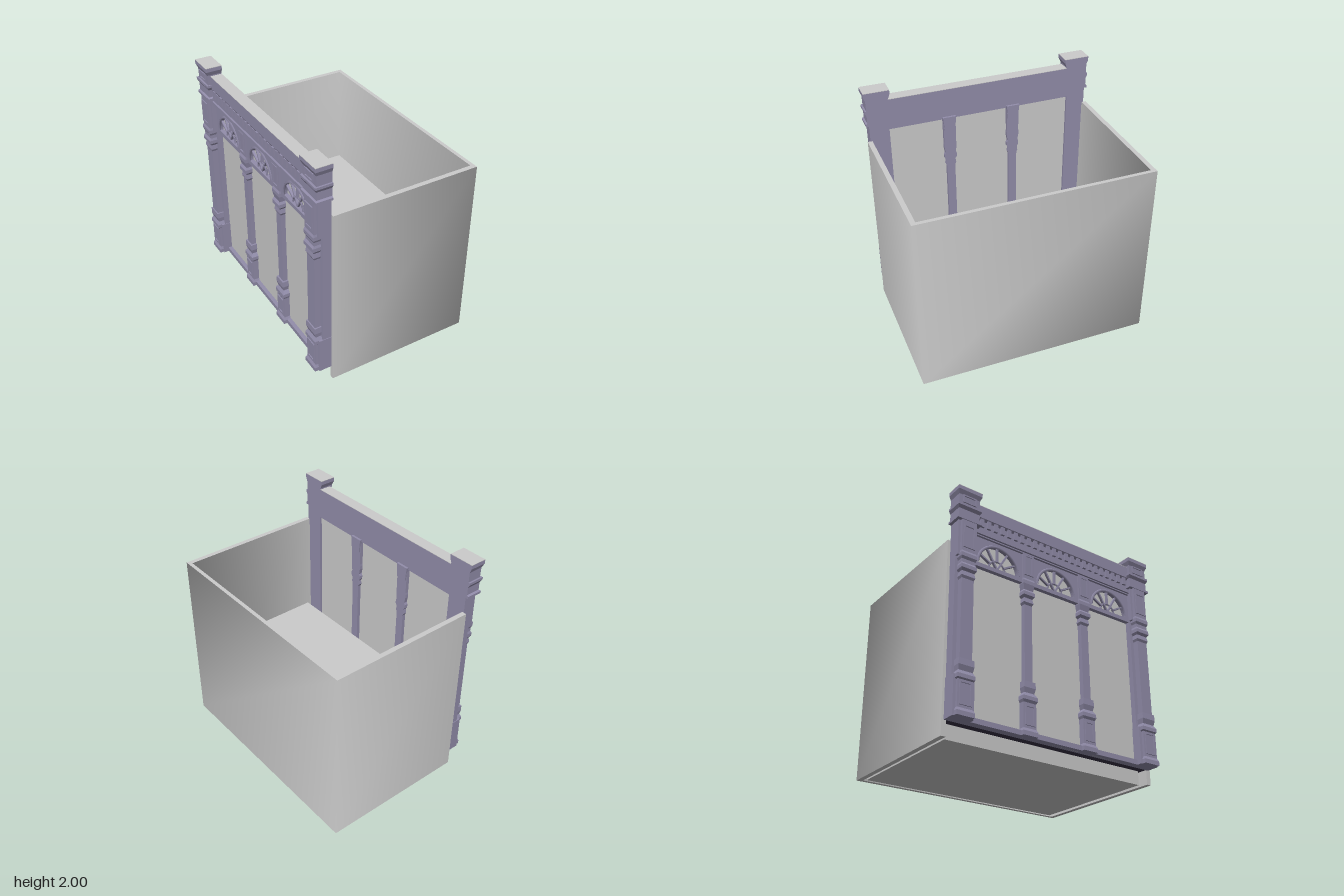
import * as THREE from 'three';
import { mergeGeometries } from 'three/addons/utils/BufferGeometryUtils.js';

const grey = new THREE.MeshStandardMaterial({ color: 0xcccccc });
grey.name = 'plasterGrey';
const purple = new THREE.MeshStandardMaterial({ color: 0x938eab });
purple.name = 'paintedPurple';
const dark = new THREE.MeshStandardMaterial({ color: 0x3a3448 });
dark.name = 'darkPurple';

const BACK = -0.56, PIER_Z = 0.878, COLUMN_Z = 0.285;

function add(parent, name, geometry, material) {
  const mesh = new THREE.Mesh(geometry, material);
  mesh.name = name;
  parent.add(mesh);
  return mesh;
}

// Box given by its limits
function block(x0, x1, y0, y1, z0, z1) {
  return new THREE.BoxGeometry(x1 - x0, y1 - y0, z1 - z0)
    .translate((x0 + x1) / 2, (y0 + y1) / 2, (z0 + z1) / 2);
}

// Moulded post: sections [y, front x, half width] joined by tapered blocks
function mouldedPost(sections, back, z) {
  const parts = [];
  for (let i = 0; i + 1 < sections.length; i++) {
    const pair = [sections[i], sections[i + 1]];
    if (pair[1][0] - pair[0][0] < 1e-4) continue;
    const g = new THREE.BoxGeometry(1, 1, 1);
    const p = g.attributes.position;
    for (let k = 0; k < p.count; k++) {
      const [y, front, half] = pair[p.getY(k) > 0 ? 1 : 0];
      p.setXYZ(k, p.getX(k) > 0 ? back : front, y, z + Math.sign(p.getZ(k)) * half);
    }
    const flat = g.toNonIndexed();
    flat.computeVertexNormals();
    parts.push(flat);
  }
  return mergeGeometries(parts);
}

// Raised rectangular frame on a face that looks to -x
function panelFrame(x, y0, y1, z, half, bar = 0.014) {
  const a = x - 0.008;
  return mergeGeometries([
    block(a, x, y0, y0 + bar, z - half, z + half),
    block(a, x, y1 - bar, y1, z - half, z + half),
    block(a, x, y0 + bar, y1 - bar, z - half, z - half + bar),
    block(a, x, y0 + bar, y1 - bar, z + half - bar, z + half),
  ]);
}

// Upright strip along an xz path, smooth round the corners
function wallStrip(path, height) {
  const pos = [], idx = [];
  path.forEach(([x, z], i) => {
    pos.push(x, 0, z, x, height, z);
    if (i) {
      const a = 2 * i - 2;
      idx.push(a, a + 2, a + 3, a, a + 3, a + 1);
    }
  });
  const g = new THREE.BufferGeometry();
  g.setAttribute('position', new THREE.Float32BufferAttribute(pos, 3));
  g.setIndex(idx);
  g.computeVertexNormals();
  return g;
}

function buildRoom(parent) {
  const room = new THREE.Group();
  room.name = 'room';
  parent.add(room);
  const H = 1.57;
  const outer = [[BACK, 0.985], [0.7, 0.985], [0.7, -0.985], [BACK, -0.985]];
  const inner = [[BACK, -0.945], [0.668, -0.945], [0.668, 0.945], [BACK, 0.945]];
  add(room, 'outerWalls', wallStrip(outer, H), grey);
  add(room, 'innerWalls', wallStrip(inner, H), grey);
  add(room, 'wallEndBack', wallStrip([outer[3], inner[0]], H), grey);
  add(room, 'wallEndFront', wallStrip([inner[3], outer[0]], H), grey);
  // Flat rims closing the wall thickness
  const rim = new THREE.Shape([...outer, ...inner].map(([x, z]) => new THREE.Vector2(x, -z)));
  add(room, 'topRim', new THREE.ShapeGeometry(rim).rotateX(-Math.PI / 2).translate(0, H, 0), grey);
  const rimBelow = new THREE.Shape([...outer, ...inner].map(([x, z]) => new THREE.Vector2(x, z)));
  add(room, 'bottomRim', new THREE.ShapeGeometry(rimBelow).rotateX(Math.PI / 2), grey);
  add(room, 'floorSlab', block(-0.5, 0.655, 0.005, 0.7, -0.918, 0.912), grey);
  add(room, 'floorBorder', block(BACK, 0.645, 0.12, 0.128, -0.944, 0.94), dark);
}

// End pier: body, pilaster, framed panels and stepped cap
function buildPier(parent, side) {
  const z = side * PIER_Z;
  const pier = new THREE.Group();
  pier.name = side > 0 ? 'frontPier' : 'backPier';
  parent.add(pier);
  add(pier, 'pierBody', mouldedPost([
    [0.12, -0.668, 0.088], [0.43, -0.668, 0.088], [0.43, -0.635, 0.083], [1.4, -0.635, 0.083],
    [1.4, -0.667, 0.083], [1.71, -0.667, 0.083],
  ], BACK, z), purple);
  add(pier, 'pilaster', mouldedPost([
    [0.12, -0.702, 0.075], [0.155, -0.702, 0.075], [0.18, -0.69, 0.066], [0.39, -0.69, 0.066],
    [0.4, -0.7, 0.074], [0.43, -0.7, 0.074], [0.46, -0.685, 0.06], [0.5, -0.697, 0.066],
    [0.55, -0.695, 0.064], [0.55, -0.685, 0.052], [1.2, -0.685, 0.052], [1.22, -0.694, 0.06],
    [1.26, -0.687, 0.055], [1.28, -0.702, 0.066], [1.31, -0.702, 0.066], [1.33, -0.69, 0.06],
    [1.36, -0.69, 0.06], [1.38, -0.7, 0.068], [1.41, -0.7, 0.068], [1.43, -0.692, 0.064],
    [1.71, -0.692, 0.064],
  ], -0.63, z), purple);
  add(pier, 'pedestalPanel', panelFrame(-0.69, 0.2, 0.38, z, 0.052), purple);
  add(pier, 'upperPanel', panelFrame(-0.692, 1.46, 1.66, z, 0.052), purple);
  add(pier, 'pierCap', mouldedPost([
    [1.705, -0.697, 0.107], [1.725, -0.697, 0.107], [1.735, -0.685, 0.094], [1.8, -0.685, 0.094],
    [1.825, -0.7, 0.107], [1.845, -0.7, 0.107], [1.845, -0.683, 0.093], [1.93, -0.685, 0.094],
    [1.965, -0.7, 0.108], [1.996, -0.7, 0.108],
  ], BACK, z), purple);
  add(pier, 'capPanel', panelFrame(-0.685, 1.86, 1.93, z, 0.06, 0.012), purple);
  add(pier, 'pierTop', block(-0.7, BACK, 1.996, 2, z - 0.108, z + 0.108), grey);
}

// Slim column between two bays
function buildColumn(parent, z) {
  const column = new THREE.Group();
  column.name = 'innerColumn';
  parent.add(column);
  add(column, 'columnPost', mouldedPost([
    [0.12, -0.652, 0.068], [0.155, -0.652, 0.068], [0.18, -0.64, 0.058], [0.38, -0.64, 0.058],
    [0.4, -0.65, 0.066], [0.43, -0.65, 0.066], [0.46, -0.635, 0.045], [0.5, -0.645, 0.054],
    [0.55, -0.643, 0.052], [0.55, -0.63, 0.036], [1.2, -0.63, 0.036], [1.22, -0.64, 0.046],
    [1.26, -0.634, 0.04], [1.28, -0.65, 0.054], [1.31, -0.65, 0.054], [1.33, -0.637, 0.045],
    [1.38, -0.648, 0.054], [1.41, -0.648, 0.054], [1.43, -0.64, 0.052], [1.66, -0.645, 0.054],
  ], -0.55, z), purple);
  add(column, 'columnRearCap', mouldedPost([
    [1.55, -0.57, 0.046], [1.62, -0.57, 0.052], [1.67, -0.57, 0.058],
  ], -0.54, z), purple);
  add(column, 'columnPedestalPanel', panelFrame(-0.64, 0.2, 0.36, z, 0.045), purple);
  add(column, 'columnUpperPanel', panelFrame(-0.641, 1.46, 1.64, z, 0.042, 0.012), purple);
}

// Arched fanlight above one bay
function buildFanlight(parent, z, half) {
  const fan = new THREE.Group();
  fan.name = 'fanlight';
  parent.add(fan);
  const y0 = 1.39, centre = 0.035, radius = 0.19;
  const plate = new THREE.Shape([[-half, 0], [half, 0], [half, 0.265], [-half, 0.265]]
    .map(([a, b]) => new THREE.Vector2(a, b)));
  const hole = new THREE.Path();
  hole.absarc(0, centre, radius, 0, Math.PI, false);
  hole.closePath();
  plate.holes.push(hole);
  const toFacade = (g, x) => g.rotateY(-Math.PI / 2).translate(x, y0, z);
  add(fan, 'spandrel', toFacade(new THREE.ExtrudeGeometry(plate,
    { depth: 0.035, bevelEnabled: false, curveSegments: 16 }), -0.592), purple);
  // Curved tracery
  for (const [r, t] of [[radius, 0.012], [0.075, 0.009]]) {
    const ring = new THREE.TorusGeometry(r, t, 4, 16, Math.PI).translate(0, centre, 0);
    add(fan, 'archMoulding', toFacade(ring, r === radius ? -0.628 : -0.608), purple);
  }
  // Spokes
  for (let i = 1; i < 6; i++) {
    const start = i % 2 ? 0.07 : 0.0;
    const bar = new THREE.BoxGeometry(radius - start, 0.014, 0.02)
      .translate((radius + start) / 2, 0, 0).rotateZ(i * Math.PI / 6).translate(0, centre, 0);
    add(fan, 'spoke', toFacade(bar, -0.608), purple);
  }
}

export function createModel() {
  const model = new THREE.Group();
  model.name = 'shopBuilding';
  buildRoom(model);

  const facade = new THREE.Group();
  facade.name = 'facade';
  model.add(facade);
  for (const s of [1, -1]) {
    buildPier(facade, s);
    buildColumn(facade, s * COLUMN_Z);
    buildFanlight(facade, s * 0.568, 0.229);
  }
  buildFanlight(facade, 0, 0.235);
  add(facade, 'windowPanel', block(-0.59, -0.58, 0.12, 1.655, -0.8, 0.8), grey);
  add(facade, 'sill', block(-0.625, BACK, 0.12, 0.16, -0.8, 0.8), purple);

  // Beam with cornice and dentils
  add(facade, 'beam', block(-0.645, BACK, 1.65, 1.916, -0.8, 0.8), purple);
  add(facade, 'cornice', mouldedPost([
    [1.79, -0.648, 0.79], [1.81, -0.66, 0.79], [1.916, -0.66, 0.79],
  ], -0.64, 0), purple);
  add(facade, 'beamTop', block(-0.66, BACK, 1.916, 1.92, -0.79, 0.79), grey);
  add(facade, 'lowerMoulding', block(-0.66, -0.64, 1.66, 1.69, -0.79, 0.79), purple);
  const count = 24;
  for (let i = 0; i < count; i++) {
    const z = -0.74 + i * 1.48 / (count - 1);
    add(facade, 'dentil', block(-0.662, -0.64, 1.73, 1.8, z - 0.017, z + 0.017), purple);
  }
  return model;
}
